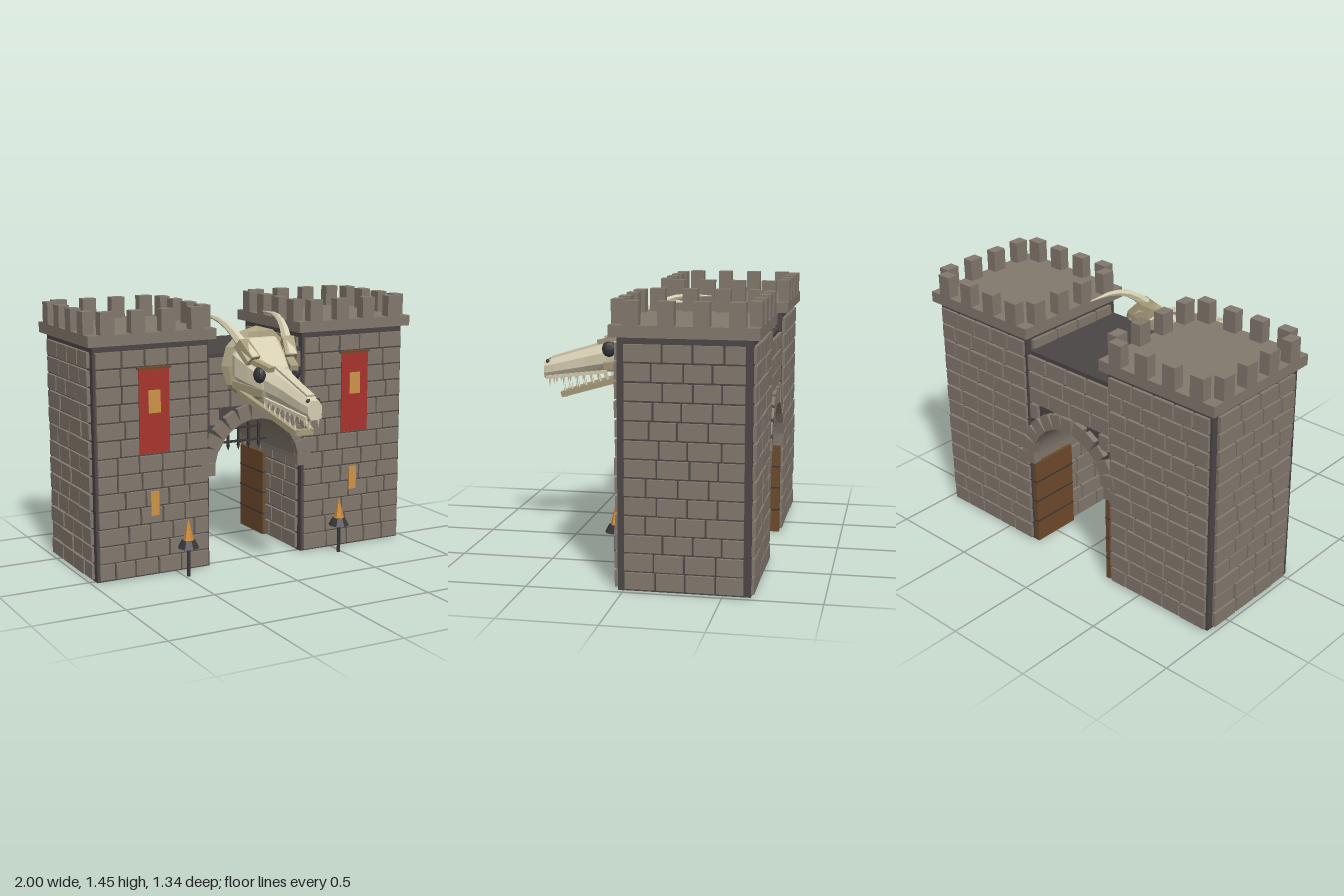
import * as THREE from 'three';
import { mergeGeometries } from 'three/addons/utils/BufferGeometryUtils.js';

const V = (x, y, z) => new THREE.Vector3(x, y, z);
const mat = (name, color) => Object.assign(new THREE.MeshStandardMaterial({ color }), { name });

export function createModel() {
  const stone = mat('stone', 0x82786d), mortar = mat('mortar', 0x4a4645);
  const bone = mat('bone', 0xd6ceb2), oldBone = mat('old bone', 0xa89d7c);
  const red = mat('banner red', 0xa8332c), gold = mat('gold', 0xcc9448);
  const wood = mat('wood', 0x6e4a2c), iron = mat('iron', 0x37363a);
  const flame = mat('flame', 0xd08c38);

  const model = new THREE.Group();
  model.name = 'gatehouse';

  let seed = 7;
  const rand = () => (seed = (seed * 16807) % 2147483647) / 2147483647;

  // flat-faced mesh helper; takes one geometry or a list to merge
  function add(parent, name, geometry, material) {
    let g = Array.isArray(geometry) ? mergeGeometries(geometry) : geometry;
    if (g.index) g = g.toNonIndexed();
    g.computeVertexNormals();
    const mesh = new THREE.Mesh(g, material);
    mesh.name = name;
    parent.add(mesh);
    return mesh;
  }
  function group(name) {
    const g = new THREE.Group();
    g.name = name;
    model.add(g);
    return g;
  }
  const box = (x0, x1, y0, y1, z0, z1) => new THREE.BoxGeometry(x1 - x0, y1 - y0, z1 - z0)
    .translate((x0 + x1) / 2, (y0 + y1) / 2, (z0 + z1) / 2);
  // square bar between two points
  function beam(a, b, w, h) {
    const o = new THREE.Object3D();
    o.position.copy(a).add(b).multiplyScalar(0.5);
    o.lookAt(b);
    o.updateMatrix();
    return new THREE.BoxGeometry(w, h, a.distanceTo(b)).applyMatrix4(o.matrix);
  }
  // one course of bricks of varied length on the plane z = 0
  function course(out, u0, u1, y, h) {
    const n = Math.max(1, Math.round((u1 - u0) / 0.145));
    const shift = n > 1 ? (rand() - 0.5) * 0.09 : 0;
    let u = u0;
    for (let i = 1; i <= n; i++) {
      const end = i === n ? u1 : u0 + (u1 - u0) * i / n + shift + (rand() - 0.5) * 0.02;
      out.push(box(u, end - 0.011, y, y + h, -0.005, 0.014 + rand() * 0.006));
      u = end;
    }
  }

  const MID = -0.305, HALF = 0.335, ROW = 0.0955, SPRING = 0.55, R = 0.26;

  for (const s of [-1, 1]) {
    const cx = s * 0.63;
    // towers
    const tower = group(s > 0 ? 'leftTower' : 'rightTower');
    add(tower, 'towerCore', box(cx - HALF, cx + HALF, 0, 1.28, MID - HALF, MID + HALF), mortar);
    const bricks = [];
    for (let f = 0; f < 4; f++) {
      const face = [], m = f % 2 ? 0.298 : 0.322;
      for (let r = 0; r < 13; r++) course(face, -m, m + 0.011, 0.012 + r * ROW, 0.084);
      for (const b of face) bricks.push(b.translate(0, 0, HALF).rotateY(f * Math.PI / 2).translate(cx, 0, MID));
    }
    add(tower, 'towerBricks', bricks, stone);
    add(tower, 'parapetSlab', box(cx - 0.37, cx + 0.37, 1.276, 1.335, MID - 0.37, MID + 0.37), stone);
    const merlons = [];
    for (let f = 0; f < 4; f++) for (const u of [-0.26, -0.087, 0.087, 0.26])
      merlons.push(box(u - 0.04, u + 0.04, 1.33, 1.454, 0.31, 0.37)
        .rotateY(f * Math.PI / 2).translate(cx, 0, MID));
    add(tower, 'merlons', merlons, stone);

    // banner and lit window
    add(tower, 'banner', box(cx - 0.088, cx + 0.088, 0.685, 1.145, 0.055, 0.062), red);
    add(tower, 'bannerRod', box(cx - 0.097, cx + 0.097, 1.14, 1.153, 0.045, 0.065), wood);
    add(tower, 'bannerEmblem', box(cx - 0.035, cx + 0.035, 0.904, 1.028, 0.062, 0.066), gold);
    add(tower, 'windowSlit', box(cx - 0.024, cx + 0.024, 0.338, 0.472, 0.047, 0.054), gold);

    // open door leaf against the passage wall
    const x0 = s > 0 ? 0.262 : -0.287;
    add(tower, 'door', box(x0, x0 + 0.025, 0.004, 0.51, -0.645, -0.365), wood);
    for (const y of [0.13, 0.26, 0.385])
      add(tower, 'doorBand', box(x0 - 0.002, x0 + 0.027, y, y + 0.008, -0.646, -0.364), iron);

    // standing torch
    const torch = group('torch');
    torch.position.set(s * 0.48, 0, 0.15);
    add(torch, 'pole', new THREE.CylinderGeometry(0.01, 0.01, 0.17, 6).translate(0, 0.085, 0), iron);
    add(torch, 'bowl', new THREE.CylinderGeometry(0.038, 0.06, 0.042, 8).translate(0, 0.183, 0), iron);
    add(torch, 'flame', new THREE.ConeGeometry(0.03, 0.125, 6).translate(0, 0.264, 0), flame);
  }

  // wall over the gateway, pierced by the arch
  const gate = group('gateWall');
  const wall = new THREE.Shape();
  wall.moveTo(-0.3, SPRING).lineTo(-0.268, SPRING);
  wall.absarc(0, SPRING, 0.268, Math.PI, 0, true);
  wall.lineTo(0.3, SPRING).lineTo(0.3, 1.19).lineTo(-0.3, 1.19);
  add(gate, 'wallCore', new THREE.ExtrudeGeometry(wall, { depth: 0.64, bevelEnabled: false, curveSegments: 16 })
    .translate(0, 0, -0.625), mortar);
  const vault = new THREE.Shape();
  vault.absarc(0, SPRING, 0.272, 0, Math.PI, false);
  vault.absarc(0, SPRING, R, Math.PI, 0, true);
  add(gate, 'archVault', new THREE.ExtrudeGeometry(vault, { depth: 0.65, bevelEnabled: false, curveSegments: 16 })
    .translate(0, 0, -0.63), stone);

  const wallBricks = [], voussoirs = [];
  for (const back of [0, 1]) {
    const place = (g) => back ? g.rotateY(Math.PI).translate(0, 0, -0.625) : g.translate(0, 0, 0.015);
    const face = [];
    for (let r = 6; r < 12; r++) {
      const y = 0.012 + r * ROW + 0.02, dy = y - SPRING;
      const cut = dy < 0.32 ? Math.sqrt(0.33 ** 2 - dy * dy) : 0;
      if (!cut) course(face, -0.285, 0.296, y, 0.084);
      else if (cut < 0.265) {
        course(face, -0.285, -cut, y, 0.084);
        course(face, cut, 0.296, y, 0.084);
      }
    }
    for (const b of face) wallBricks.push(place(b));
    for (let i = 0; i <= 12; i++)
      voussoirs.push(place(box(R, 0.345, -0.035, 0.035, -0.02, 0.03 + rand() * 0.008)
        .rotateZ(i * Math.PI / 12).translate(0, SPRING, 0)));
  }
  add(gate, 'wallBricks', wallBricks, stone);
  add(gate, 'archStones', voussoirs, stone);

  // raised portcullis
  const portcullis = group('portcullis');
  for (let i = -3; i <= 3; i++) {
    const x = i * 0.067, top = SPRING + Math.sqrt(R * R - x * x) + 0.01;
    add(portcullis, 'bar', box(x - 0.006, x + 0.006, 0.59, top, MID - 0.006, MID + 0.006), iron);
    add(portcullis, 'spike', new THREE.ConeGeometry(0.012, 0.035, 5).rotateX(Math.PI).translate(x, 0.577, MID), iron);
  }
  for (const [y, w] of [[0.613, 0.255], [0.692, 0.22], [0.77, 0.14]])
    add(portcullis, 'crossBar', box(-w, w, y - 0.006, y + 0.006, MID - 0.008, MID + 0.008), iron);

  // horned skull mounted above the arch
  const skull = group('skull');
  const outline = [[1, -0.35], [1, 0.4], [0.55, 1], [-0.55, 1], [-1, 0.4], [-1, -0.35], [-0.6, -1], [0.6, -1]];
  // loft of eight-sided sections [z, bottom, top, half width], from back to front
  function loft(sections) {
    const p = [], idx = [], n = 8;
    for (const [z, lo, hi, w] of sections)
      for (const [u, v] of outline) p.push(u * w, (lo + hi) / 2 + v * (hi - lo) / 2, z);
    for (let i = 0; i < sections.length - 1; i++) for (let j = 0; j < n; j++) {
      const a = i * n + j, b = i * n + (j + 1) % n;
      idx.push(a, b, a + n, b, b + n, a + n);
    }
    const e = (sections.length - 1) * n;
    for (let j = 1; j < n - 1; j++) idx.push(e, e + j, e + j + 1, 0, j + 1, j);
    const g = new THREE.BufferGeometry();
    g.setAttribute('position', new THREE.Float32BufferAttribute(p, 3));
    g.setIndex(idx);
    return g;
  }
  add(skull, 'cranium', loft([[0, 1.0, 1.27, 0.15], [0.09, 0.97, 1.27, 0.165], [0.18, 0.965, 1.21, 0.14],
    [0.29, 0.965, 1.13, 0.1]]), bone);
  add(skull, 'snout', loft([[0.27, 0.965, 1.13, 0.1], [0.42, 0.945, 1.085, 0.072], [0.6, 0.918, 1.03, 0.054],
    [0.665, 0.91, 1.01, 0.042]]), bone);
  add(skull, 'noseRidge', beam(V(0, 1.135, 0.26), V(0, 1.025, 0.62), 0.045, 0.022), bone);
  add(skull, 'neckFrill', new THREE.SphereGeometry(1, 12, 6).scale(0.215, 0.21, 0.05).translate(0, 1.12, 0.03), oldBone);

  // tapered, backswept horn
  function horn(s) {
    const path = new THREE.CatmullRomCurve3([V(s * 0.115, 1.17, 0.22), V(s * 0.14, 1.25, 0.13),
      V(s * 0.165, 1.325, 0.04), V(s * 0.185, 1.368, -0.08), V(s * 0.2, 1.37, -0.25)]);
    const segs = 8, sides = 6, g = new THREE.TubeGeometry(path, segs, 1, sides, false);
    const pos = g.attributes.position, v = V(0, 0, 0);
    for (let i = 0; i < pos.count; i++) {
      const t = Math.floor(i / (sides + 1)) / segs, c = path.getPointAt(t);
      v.fromBufferAttribute(pos, i).sub(c).multiplyScalar(0.003 + 0.037 * (1 - t)).add(c);
      pos.setXYZ(i, v.x, v.y, v.z);
    }
    return g;
  }
  for (const s of [-1, 1]) {
    add(skull, 'horn', horn(s), bone);
    add(skull, 'hornBase', beam(V(s * 0.115, 1.165, 0.215), V(s * 0.143, 1.255, 0.125), 0.066, 0.066), oldBone);
    add(skull, 'browRidge', beam(V(s * 0.07, 1.13, 0.335), V(s * 0.12, 1.17, 0.18), 0.045, 0.028), oldBone);
    add(skull, 'cheekBone', beam(V(s * 0.095, 1.0, 0.3), V(s * 0.15, 1.02, 0.06), 0.03, 0.04), oldBone);
    add(skull, 'eyeSocket', new THREE.IcosahedronGeometry(1, 1).scale(0.032, 0.046, 0.042)
      .translate(s * 0.108, 1.097, 0.27), iron);
    add(skull, 'nostril', new THREE.IcosahedronGeometry(0.014, 0).translate(s * 0.028, 1.008, 0.645), iron);
    add(skull, 'lipRidge', beam(V(s * 0.088, 0.968, 0.29), V(s * 0.042, 0.918, 0.65), 0.016, 0.018), bone);

    // lower jaw and both rows of teeth
    const hinge = V(s * 0.12, 0.975, 0.06), chin = V(s * 0.042, 0.823, 0.56);
    add(skull, 'lowerJaw', beam(hinge, chin, 0.03, 0.032), oldBone);
    const teeth = [];
    for (let i = 0; i < 9; i++) {
      const t = i / 8, h = i % 2 ? 0.04 : 0.055;
      teeth.push(new THREE.ConeGeometry(0.009, h, 5).rotateX(Math.PI)
        .translate(s * (0.082 - 0.04 * t), 0.965 - 0.047 * t - h / 2, 0.3 + 0.33 * t));
    }
    for (let i = 0; i < 7; i++) {
      const c = hinge.clone().lerp(chin, 0.45 + i * 0.085);
      teeth.push(new THREE.ConeGeometry(0.008, 0.045, 5).translate(c.x, c.y + 0.034, c.z));
    }
    add(skull, 'teeth', teeth, bone);
  }
  add(skull, 'chin', beam(V(-0.05, 0.826, 0.548), V(0.05, 0.826, 0.548), 0.03, 0.03), oldBone);

  return model;
}
